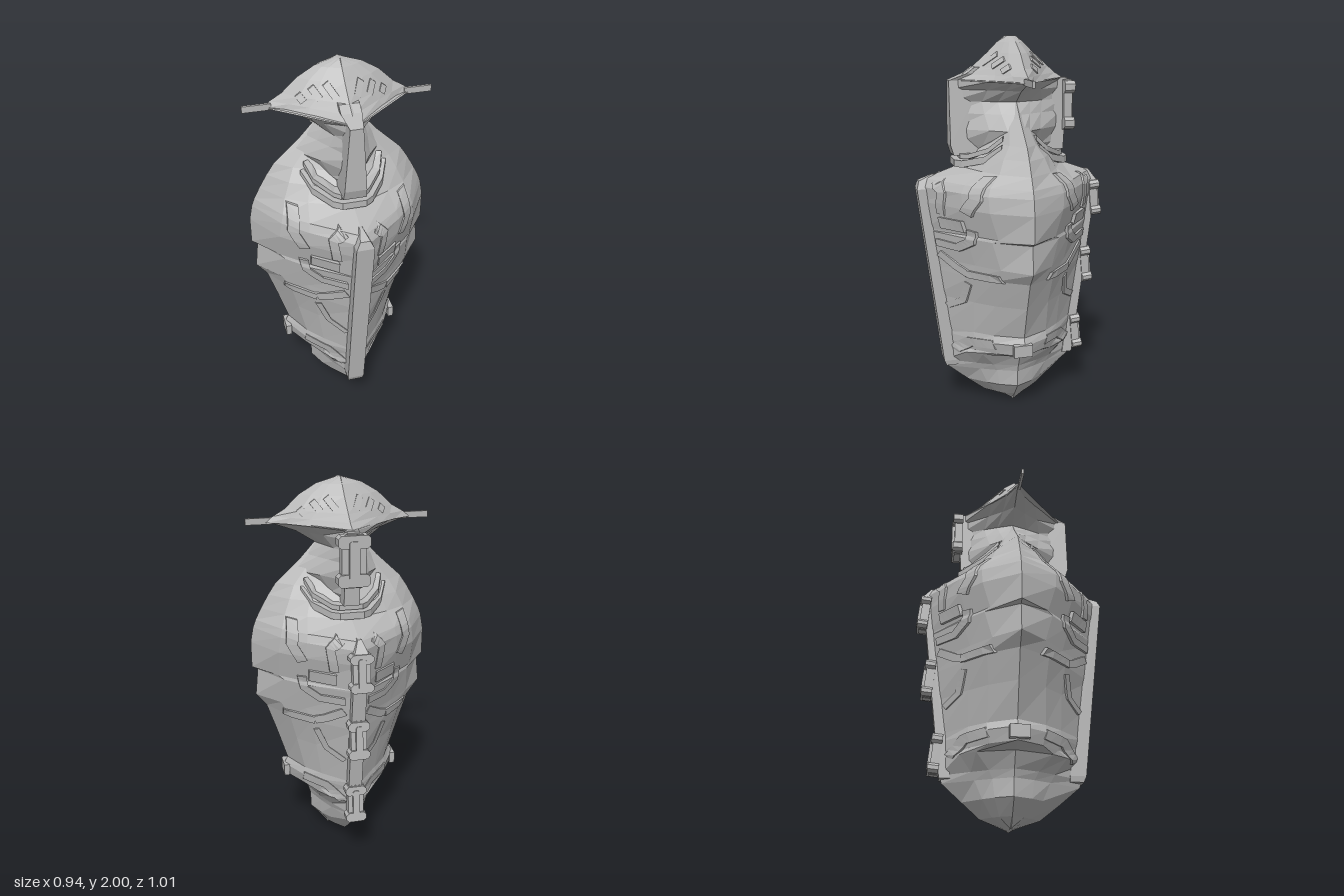
import * as THREE from 'three';

const stone = new THREE.MeshStandardMaterial({ color: 0xb8b8b8, flatShading: true });
stone.name = 'stone grey';

// Closed skin through rings of [x, y, z]; each ring runs anticlockwise seen from the far end
function loft(rings, flip = false) {
  const pos = [];
  const tri = (a, b, c) => pos.push(...a, ...(flip ? c : b), ...(flip ? b : c));
  const n = rings[0].length;
  for (let r = 0; r < rings.length - 1; r++) {
    for (let i = 0; i < n; i++) {
      const j = (i + 1) % n, lo = rings[r], hi = rings[r + 1];
      tri(lo[i], lo[j], hi[j]);
      tri(lo[i], hi[j], hi[i]);
    }
  }
  const first = rings[0], last = rings[rings.length - 1];
  for (let i = 1; i < n - 1; i++) {
    tri(first[0], first[i + 1], first[i]);
    tri(last[0], last[i], last[i + 1]);
  }
  const geo = new THREE.BufferGeometry();
  geo.setAttribute('position', new THREE.Float32BufferAttribute(pos, 3));
  geo.computeVertexNormals();
  return geo;
}

// Quarter of a diamond section: k > 0 bulges, k < 0 hollows
const quarter = (k) => [[0, 1], [0.5, 0.5 + 0.13 * k], [0.75, 0.25 + 0.15 * k], [1, 0]];

// Station: [y, half width, front depth, back depth, bulge]
function section([y, w, f, b, k]) {
  const q = quarter(k), ring = [];
  q.forEach(([x, z]) => ring.push([x * w, y, z * f]));
  q.slice(0, 3).reverse().forEach(([x, z]) => ring.push([x * w, y, -z * b]));
  q.slice(1).forEach(([x, z]) => ring.push([-x * w, y, -z * b]));
  q.slice(1, 3).reverse().forEach(([x, z]) => ring.push([-x * w, y, z * f]));
  return ring;
}

// Depth of a lofted skin at x, y on the front (1) or back (-1)
function depthAt(stations, x, y, side) {
  let i = 0;
  while (i < stations.length - 2 && stations[i + 1][0] < y) i++;
  const t = THREE.MathUtils.clamp((y - stations[i][0]) / (stations[i + 1][0] - stations[i][0]), 0, 1);
  const [, w, f, b, k] = stations[i].map((v, c) => v + (stations[i + 1][c] - v) * t);
  const q = quarter(k), u = Math.min(Math.abs(x) / w, 1);
  let j = 0;
  while (j < 2 && q[j + 1][0] < u) j++;
  const s = (u - q[j][0]) / (q[j + 1][0] - q[j][0]);
  return (q[j][1] + (q[j + 1][1] - q[j][1]) * s) * (side > 0 ? f : b);
}

// Raised strip that follows a skin along an x, y path
function strip(stations, path, width, raise, sx, sz) {
  const pts = [];
  path.forEach((p, i) => {
    if (i === path.length - 1) return pts.push(p);
    const e = path[i + 1];
    for (let s = 0; s < 4; s++) pts.push([p[0] + (e[0] - p[0]) * s / 4, p[1] + (e[1] - p[1]) * s / 4]);
  });
  const rings = pts.map(([x, y], i) => {
    const a = pts[Math.max(i - 1, 0)], b = pts[Math.min(i + 1, pts.length - 1)];
    const l = Math.hypot(b[0] - a[0], b[1] - a[1]);
    const rx = (b[1] - a[1]) / l * width / 2, ry = -(b[0] - a[0]) / l * width / 2;
    const at = (m, up) => {
      const X = x + rx * m, Y = y + ry * m;
      return [sx * X, Y, sz * (depthAt(stations, X, Y, sz) + up)];
    };
    return [at(-1, raise), at(1, raise), at(1, -0.03), at(-1, -0.03)];
  });
  return loft(rings, sx * sz < 0);
}

const BODY = [
  [0, 0.065, 0.01, 0.01, 1], [0.05, 0.1, 0.15, 0.15, 1], [0.13, 0.165, 0.25, 0.24, 0.8],
  [0.22, 0.168, 0.355, 0.34, 0.3], [0.26, 0.18, 0.37, 0.35, 0.6], [0.34, 0.22, 0.375, 0.355, 1.8],
  [0.365, 0.3, 0.375, 0.355, 0.7], [0.43, 0.315, 0.38, 0.36, 0.9], [0.47, 0.295, 0.388, 0.365, 0.9],
  [0.65, 0.35, 0.41, 0.39, 0.7], [0.8, 0.4, 0.43, 0.41, 0.8], [0.87, 0.455, 0.44, 0.42, 0.4],
  [1.015, 0.44, 0.46, 0.44, 0.9], [1.03, 0.47, 0.462, 0.442, 0.5], [1.17, 0.47, 0.483, 0.46, 1],
  [1.25, 0.455, 0.492, 0.468, 1], [1.29, 0.44, 0.46, 0.44, 1], [1.35, 0.41, 0.29, 0.28, 1.4],
  [1.42, 0.37, 0.22, 0.22, 1.5], [1.48, 0.33, 0.17, 0.17, 1], [1.6, 0.2, 0.1, 0.1, 1], [1.7, 0.11, 0.05, 0.05, 1],
];
const HEAD = [
  [1.39, 0.1, 0.24, 0.22, 0], [1.46, 0.15, 0.31, 0.28, 0.2], [1.54, 0.25, 0.31, 0.285, -0.4],
  [1.62, 0.17, 0.31, 0.285, 0], [1.68, 0.125, 0.31, 0.29, 0.2], [1.74, 0.22, 0.31, 0.29, -0.3],
  [1.79, 0.36, 0.31, 0.29, -0.6],
];
const CAP = [
  [1.785, 0.37, 0.31, 0.29, -0.6], [1.815, 0.335, 0.25, 0.24, -0.2], [1.85, 0.275, 0.2, 0.2, 0.5],
  [1.92, 0.2, 0.12, 0.12, 0.9], [1.97, 0.115, 0.07, 0.07, 1], [2, 0.012, 0.03, 0.03, 1],
];

export function createModel() {
  const model = new THREE.Group();
  const add = (name, geo, parent = model) => {
    const mesh = new THREE.Mesh(geo, stone);
    mesh.name = name;
    parent.add(mesh);
    return mesh;
  };

  add('body', loft(BODY.map(section)));
  add('head', loft(HEAD.map(section)));
  add('cap', loft(CAP.map(section)));

  // Upright bar; stations are [y, half width, inner z, outer z]
  const bar = (name, list, sz) => add(name, loft(list.map(([y, w, a, b]) =>
    [[-w, y, sz * b], [w, y, sz * b], [w, y, sz * a], [-w, y, sz * a]]), sz < 0));
  bar('frontSpine', [[0.24, 0.04, 0.3, 0.37], [0.27, 0.045, 0.3, 0.383], [1.24, 0.045, 0.4, 0.502], [1.28, 0.025, 0.38, 0.49], [1.31, 0.008, 0.33, 0.42]], 1);
  bar('backSpine', [[0.24, 0.035, 0.3, 0.355], [1.24, 0.035, 0.4, 0.478], [1.3, 0.01, 0.36, 0.435]], -1);
  bar('beak', [[1.41, 0.058, 0.15, 0.31], [1.46, 0.055, 0.15, 0.325], [1.785, 0.032, 0.15, 0.325], [1.82, 0.05, 0.15, 0.235], [1.85, 0.05, 0.12, 0.195]], 1);
  bar('nape', [[1.42, 0.04, 0.15, 0.28], [1.79, 0.03, 0.15, 0.3]], -1);

  // Side blades on the cap and small tabs at the hips
  for (const s of [-1, 1]) {
    add('capBlade', new THREE.BoxGeometry(0.14, 0.032, 0.014)).position.set(s * 0.4, 1.793, 0.01);
    add('hipTab', new THREE.BoxGeometry(0.03, 0.065, 0.1)).position.set(s * 0.305, 0.405, 0.01);
  }

  // Collar bands sweeping from shoulder to shoulder under the chin
  const collar = (half, height, inner, sz) => {
    const path = [...half, ...half.slice().reverse().map(([x, y, z]) => [-x, y, z])];
    return loft(path.map(([x, y, z]) => [
      [sz * x, y - height, sz * z], [sz * x, y, sz * z],
      [sz * x * inner, y, sz * z * inner], [sz * x * inner, y - height, sz * z * inner],
    ]));
  };
  for (const sz of [1, -1]) {
    const d = sz > 0 ? 1 : 0.95;
    add('upperCollar', collar([[0.2, 1.52, 0.09 * d], [0.17, 1.46, 0.16 * d], [0.09, 1.42, 0.25 * d], [0.06, 1.42, 0.28 * d]], 0.025, 0.75, sz));
    add('lowerCollar', collar([[0.22, 1.48, 0.1 * d], [0.18, 1.42, 0.18 * d], [0.1, 1.39, 0.28 * d], [0.06, 1.39, 0.31 * d]], 0.035, 0.7, sz));
  }

  // Raised armour strips, repeated on all four quarters
  const armour = [
    ['shoulderStrip', [[0.28, 1.34], [0.295, 1.23], [0.25, 1.15]], 0.05, 0.014],
    ['chestStrip', [[0.08, 1.29], [0.13, 1.24], [0.11, 1.12]], 0.04, 0.01],
    ['chestBracket', [[0.1, 1.075], [0.22, 1.075]], 0.06, 0.018],
    ['ribStrip', [[0.25, 1.06], [0.24, 1.0], [0.17, 0.955], [0.06, 0.96]], 0.04, 0.014],
    ['waistStrip', [[0.06, 0.9], [0.14, 0.84], [0.19, 0.815]], 0.04, 0.01],
    ['waistBar', [[0.19, 0.815], [0.33, 0.815]], 0.04, 0.016],
    ['bellyStrip', [[0.05, 0.6], [0.13, 0.65], [0.18, 0.76]], 0.03, 0.008],
    ['hipStrip', [[0.05, 0.34], [0.13, 0.41], [0.23, 0.42]], 0.05, 0.008],
  ];
  const slots = [
    [[0.05, 1.865], [0.085, 1.915]], [[0.12, 1.855], [0.15, 1.895]], [[0.19, 1.835], [0.21, 1.86]],
  ];
  for (const sx of [1, -1]) {
    for (const sz of [1, -1]) {
      for (const [name, path, w, up] of armour) add(name, strip(BODY, path, w, up, sx, sz));
      for (const path of slots) add('capSlot', strip(CAP, path, 0.034, 0.007, sx, sz));
    }
  }

  // Clamps gripping the back spine and the nape
  const clampShape = (w, h, c) => new THREE.Shape([
    [-w + c, -h], [w - c, -h], [w, -h + c], [w, h - c], [w - c, h], [-w + c, h], [-w, h - c], [-w, -h + c],
  ].map(([x, y]) => new THREE.Vector2(x, y)));
  const plate = (w, h, c, depth) => new THREE.ExtrudeGeometry(clampShape(w, h, c), { depth, bevelEnabled: false });
  const clamp = (y, z, h, w, tilt) => {
    const group = new THREE.Group();
    group.name = 'backClamp';
    add('clampPlate', plate(w * 0.75, h, 0.02, 0.045), group);
    for (const s of [-1, 1]) add('clampJaw', plate(w, h * 0.24, 0.015, 0.055), group).position.y = s * h * 0.72;
    add('clampPin', plate(w * 0.32, h * 0.75, 0.008, 0.06), group);
    group.position.set(0, y, z);
    group.rotation.set(tilt, Math.PI, 0);
    model.add(group);
  };
  clamp(1.14, -0.44, 0.1, 0.058, 0.1);
  clamp(0.76, -0.4, 0.105, 0.055, 0.1);
  clamp(0.36, -0.35, 0.105, 0.055, 0.1);
  clamp(1.65, -0.275, 0.13, 0.08, 0);

  return model;
}
